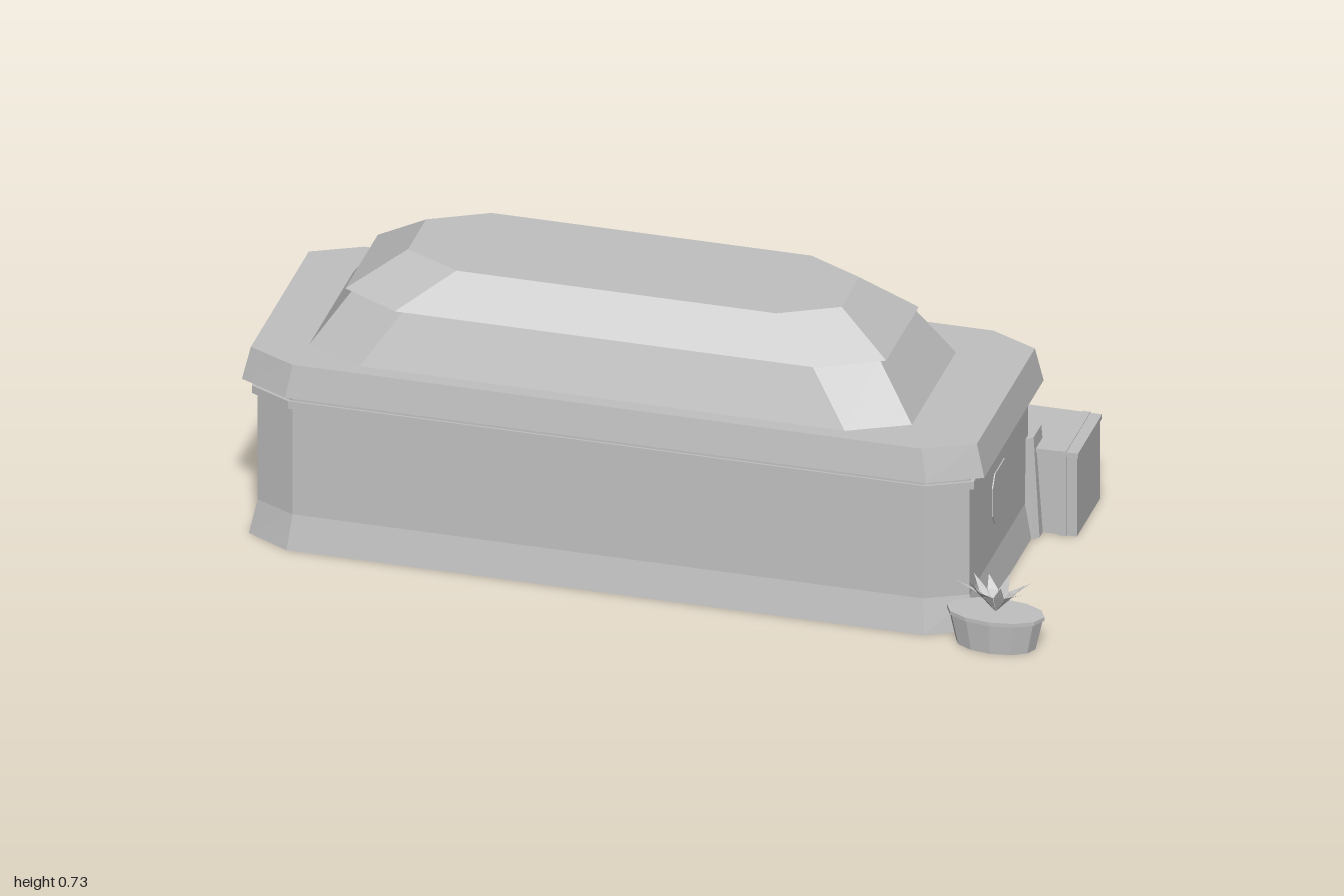
import * as THREE from 'three';

const stone = new THREE.MeshStandardMaterial({ color: 0xc0c0c0, flatShading: true, side: THREE.DoubleSide });
stone.name = 'light grey';

const CX = -0.085; // middle of the building along x

// Eight-cornered outline: extents plus corner cuts, counter-clockwise from above
function ring([y, x0, x1, z0, z1, cx, cz]) {
  return [
    [x1, z1 - cz], [x1, z0 + cz], [x1 - cx, z0], [x0 + cx, z0],
    [x0, z0 + cz], [x0, z1 - cz], [x0 + cx, z1], [x1 - cx, z1],
  ].map(([x, z]) => [x, y, z]);
}

// Joins stacked outlines into a solid
function loft(name, sections, { top = true, bottom = true } = {}) {
  const rings = sections.map(ring), pos = [];
  const tri = (...p) => p.forEach((q) => pos.push(...q));
  for (let k = 0; k + 1 < rings.length; k++) {
    for (let i = 0; i < 8; i++) {
      const j = (i + 1) % 8, lo = rings[k], hi = rings[k + 1];
      tri(lo[i], lo[j], hi[j]);
      tri(lo[i], hi[j], hi[i]);
    }
  }
  const first = rings[0], last = rings[rings.length - 1];
  for (let i = 1; i < 7; i++) {
    if (top) tri(last[0], last[i], last[i + 1]);
    if (bottom) tri(first[0], first[i + 1], first[i]);
  }
  const g = new THREE.BufferGeometry();
  g.setAttribute('position', new THREE.Float32BufferAttribute(pos, 3));
  g.computeVertexNormals();
  return part(name, g);
}

function part(name, geometry) {
  const m = new THREE.Mesh(geometry, stone);
  m.name = name;
  return m;
}

// Box given by its extents
function box(name, x0, x1, y0, y1, z0, z1) {
  const g = new THREE.BoxGeometry(x1 - x0, y1 - y0, z1 - z0);
  g.translate((x0 + x1) / 2, (y0 + y1) / 2, (z0 + z1) / 2);
  return part(name, g);
}

// Thin upright plate with cut corners, centred on the origin and facing +z
function plate(name, w, h, cx, cy, depth) {
  const a = w / 2, b = h / 2;
  const s = new THREE.Shape([
    [a, -b + cy], [a, b - cy], [a - cx, b], [-a + cx, b],
    [-a, b - cy], [-a, -b + cy], [-a + cx, -b], [a - cx, -b],
  ].map(([x, y]) => new THREE.Vector2(x, y)));
  return part(name, new THREE.ExtrudeGeometry(s, { depth, bevelEnabled: false }));
}

// Crate with a lid, a recessed body and two straps
function crate(name, x0, x1, h, z0, z1) {
  const g = new THREE.Group();
  g.name = name;
  const e = 0.005;
  g.add(box('crateBody', x0 + e, x1 - e, 0, h - 0.012, z0 + e, z1 - e));
  g.add(box('crateLid', x0 + 0.001, x1 - 0.001, h - 0.014, h - 0.002, z0 + 0.001, z1 - 0.001));
  for (const x of [x0 + 0.03, x1 - 0.05]) g.add(box('crateStrap', x, x + 0.02, 0, h, z0, z1));
  return g;
}

// Oval pot with a tuft of pointed leaves
function planter() {
  const g = new THREE.Group();
  g.name = 'planter';
  const pot = part('pot', new THREE.CylinderGeometry(0.116, 0.098, 0.08, 12));
  pot.position.y = 0.04;
  const rim = part('potRim', new THREE.CylinderGeometry(0.12, 0.12, 0.01, 12));
  rim.position.y = 0.085;
  g.add(pot, rim);
  const pos = [];
  for (let i = 0; i < 10; i++) {
    const t = (i / 10) * Math.PI * 2, w = 0.3;
    const tip = i % 2 ? 0.1 : 0.075, h = i % 2 ? 0.16 : 0.172;
    const at = (r, u, y) => [r * Math.cos(u), y, r * Math.sin(u)];
    const root = [0, 0.088, 0], l = at(0.045, t - w, 0.135), r = at(0.045, t + w, 0.135);
    pos.push(...root, ...r, ...l, ...l, ...r, ...at(tip, t, h));
  }
  const leaves = new THREE.BufferGeometry();
  leaves.setAttribute('position', new THREE.Float32BufferAttribute(pos, 3));
  leaves.computeVertexNormals();
  g.add(part('leaves', leaves));
  g.scale.z = 0.52;
  g.position.set(0.877, 0, 0.408);
  return g;
}

export function createModel() {
  const model = new THREE.Group();
  model.name = 'building';

  // Walls, flared open skirt and eaves
  model.add(
    loft('skirt', [
      [0, -0.982, 0.812, -0.228, 0.412, 0.11, 0.06],
      [0.09, -0.962, 0.795, -0.21, 0.396, 0.1, 0.05],
    ], { top: false, bottom: false }),
    loft('walls', [
      [0.09, -0.962, 0.795, -0.21, 0.396, 0.1, 0.05],
      [0.415, -0.962, 0.795, -0.21, 0.396, 0.1, 0.05],
    ]),
    loft('wallLip', [
      [0.375, -0.976, 0.806, -0.216, 0.401, 0.105, 0.053],
      [0.395, -0.976, 0.806, -0.216, 0.401, 0.105, 0.053],
    ]),
    loft('eaves', [
      [0.41, -1, 0.832, -0.23, 0.414, 0.125, 0.065],
      [0.495, -0.98, 0.812, -0.22, 0.402, 0.12, 0.06],
    ]),
    // Two-tier roof
    loft('lowerRoof', [
      [0.495, -0.85, 0.637, -0.163, 0.365, 0.145, 0.073],
      [0.633, -0.755, 0.542, -0.113, 0.316, 0.145, 0.075],
    ]),
    loft('upperRoof', [
      [0.632, -0.775, 0.56, -0.118, 0.324, 0.145, 0.08],
      [0.725, -0.638, 0.432, -0.05, 0.254, 0.14, 0.074],
    ]),
  );

  // Side windows
  for (const s of [1, -1]) {
    const w = plate('sideWindow', 0.124, 0.135, 0.02, 0.03, 0.004);
    w.rotation.y = (s * Math.PI) / 2;
    w.position.set(s > 0 ? 0.794 : -0.961, 0.238, 0.092);
    model.add(w);
  }

  // Back corner buttresses, mirrored about the middle of the building
  for (const s of [1, -1]) {
    const span = (a, b) => [CX + s * a, CX + s * b].sort((p, q) => p - q);
    model.add(loft('buttress', [
      [0, ...span(0.765, 0.914), -0.247, -0.128, 0.012, 0.012],
      [0.26, ...span(0.775, 0.896), -0.23, -0.14, 0.012, 0.012],
    ]));
  }

  // Back door with a bent canopy over it
  const door = plate('door', 0.69, 0.27, 0.12, 0.07, 0.006);
  door.position.set(CX, 0.28, -0.215);
  model.add(door);
  const outline = [[-0.32, 0.35], [-0.17, 0.44], [0.17, 0.44], [0.32, 0.35],
    [0.3, 0.335], [0.16, 0.415], [-0.16, 0.415], [-0.3, 0.335]];
  const canopy = part('doorCanopy', new THREE.ExtrudeGeometry(
    new THREE.Shape(outline.map(([x, y]) => new THREE.Vector2(x, y))),
    { depth: 0.035, bevelEnabled: false }));
  canopy.position.set(CX, 0, -0.242);
  model.add(canopy, box('doorHandle', -0.03, 0.02, 0.245, 0.265, -0.222, -0.212));

  // Porch and three steps
  model.add(loft('porch', [
    [0, -0.61, 0.472, -0.35, -0.19, 0.045, 0.028],
    [0.155, -0.61, 0.472, -0.35, -0.19, 0.045, 0.028],
  ]));
  [[0.12, -0.385, 0.335], [0.08, -0.427, 0.342], [0.04, -0.472, 0.353]].forEach(([h, z, half]) =>
    model.add(box('step', CX - half, CX + half, 0, h, z, -0.3)));

  // Locker against the back wall, in two leaves
  model.add(
    box('locker', 0.55, 0.73, 0, 0.37, -0.24, -0.17),
    box('lockerTop', 0.545, 0.735, 0.365, 0.38, -0.247, -0.17),
    box('lockerDoor', 0.56, 0.635, 0.03, 0.355, -0.246, -0.235),
    box('lockerDoor', 0.645, 0.72, 0.03, 0.355, -0.246, -0.235),
  );

  // Crates and planter
  model.add(
    crate('tallCrate', 0.57, 0.918, 0.227, -0.374, -0.163),
    crate('lowCrate', -0.892, -0.572, 0.186, -0.41, -0.25),
    planter(),
  );
  return model;
}
